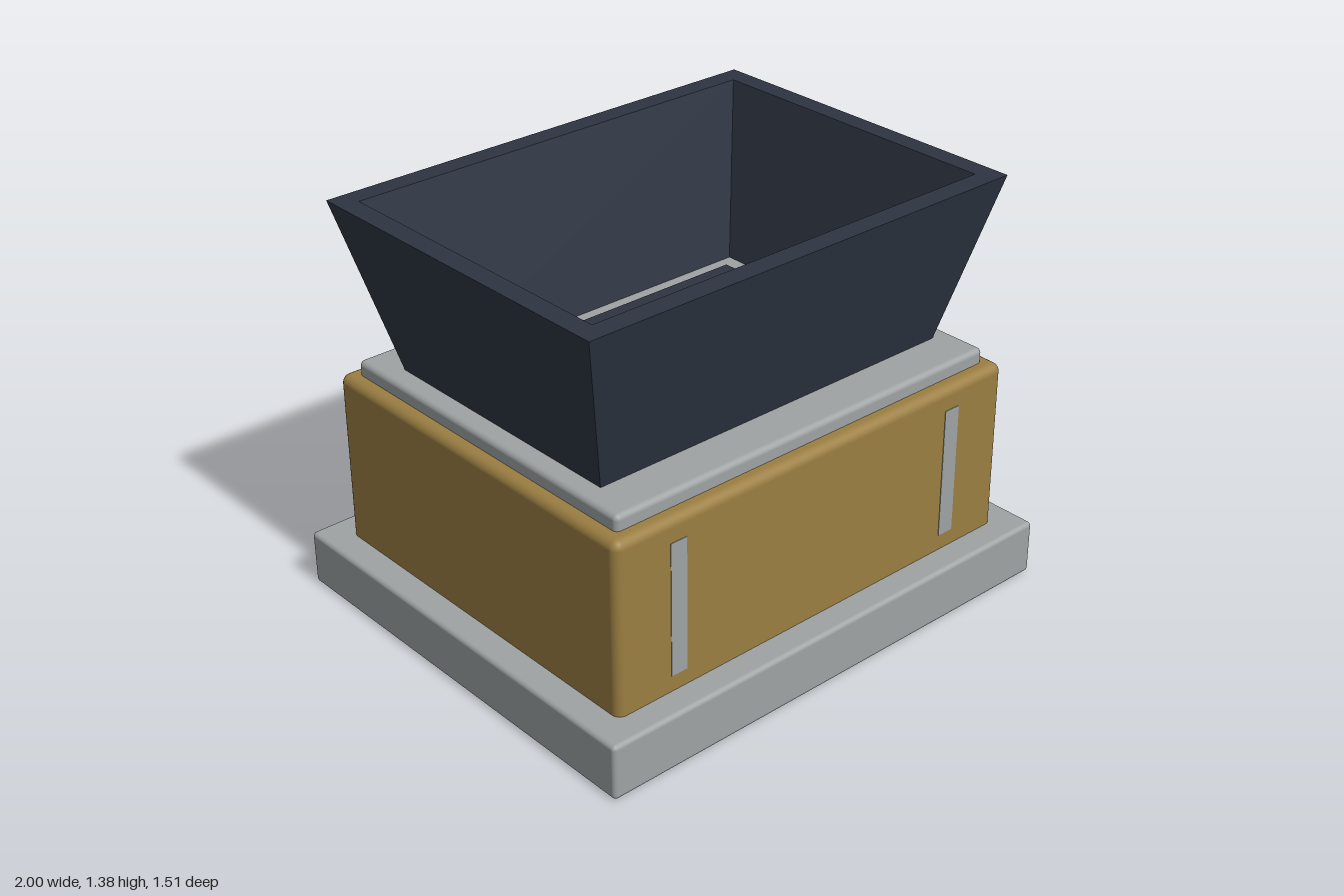
import * as THREE from 'three';
import { RoundedBoxGeometry } from 'three/addons/geometries/RoundedBoxGeometry.js';

const CX = -0.112; // centre line of the main housing

function material(name, color) {
  const m = new THREE.MeshStandardMaterial({ color });
  m.name = name;
  return m;
}

// Rectangular funnel: closed wall swept through four rectangular rings [halfX, y, halfZ]
function funnelGeometry(rings) {
  const corners = [[-1, 1], [1, 1], [1, -1], [-1, -1]];
  const point = (r, c) => {
    const [hx, y, hz] = rings[r % rings.length];
    const [sx, sz] = corners[c % 4];
    return [sx * hx, y, sz * hz];
  };
  const positions = [];
  for (let r = 0; r < rings.length; r++) {
    for (let c = 0; c < 4; c++) {
      const a = point(r, c), b = point(r, c + 1);
      const d = point(r + 1, c + 1), e = point(r + 1, c);
      positions.push(...a, ...b, ...d, ...a, ...d, ...e);
    }
  }
  const g = new THREE.BufferGeometry();
  g.setAttribute('position', new THREE.Float32BufferAttribute(positions, 3));
  g.computeVertexNormals();
  return g;
}

export function createModel() {
  const model = new THREE.Group();
  model.name = 'hopperMachine';
  const steel = material('steel grey', 0x9fa3a3);
  const ochre = material('ochre paint', 0x9b7e42);
  const navy = material('dark navy', 0x2d3542);

  const add = (name, geometry, mat, x, y, z) => {
    const mesh = new THREE.Mesh(geometry, mat);
    mesh.name = name;
    mesh.position.set(x, y, z);
    model.add(mesh);
  };
  // Rounded box standing on y0
  const block = (name, mat, x, y0, w, h, d, radius) =>
    add(name, new RoundedBoxGeometry(w, h, d, 3, radius), mat, x, y0 + h / 2, 0);

  // Stacked housing
  block('base', steel, CX, 0, 1.775, 0.187, 1.515, 0.015);
  block('body', ochre, CX, 0.16, 1.585, 0.61, 1.33, 0.03);
  block('collar', steel, CX, 0.755, 1.495, 0.065, 1.235, 0.018);

  // Flared hopper and the plate on its floor
  add('hopper', funnelGeometry([
    [0.678, 0.82, 0.468],
    [0.818, 1.38, 0.608],
    [0.75, 1.38, 0.538],
    [0.608, 0.82, 0.398],
  ]), navy, CX, 0, 0);
  block('hopperFloorPlate', navy, CX, 0.8, 1.1, 0.03, 0.7, 0.005);

  // Upright trim strips on the front and back
  for (const side of [-1, 1]) {
    for (const face of [-1, 1]) {
      add('trimStrip', new THREE.BoxGeometry(0.06, 0.45, 0.006), steel,
        CX + side * 0.5625, 0.467, face * 0.664);
    }
  }

  // Control box with its button
  block('controlBox', steel, 0.847, 0.81, 0.3, 0.302, 0.3, 0.018);
  block('controlButton', navy, 0.843, 1.1, 0.187, 0.037, 0.187, 0.005);

  return model;
}
